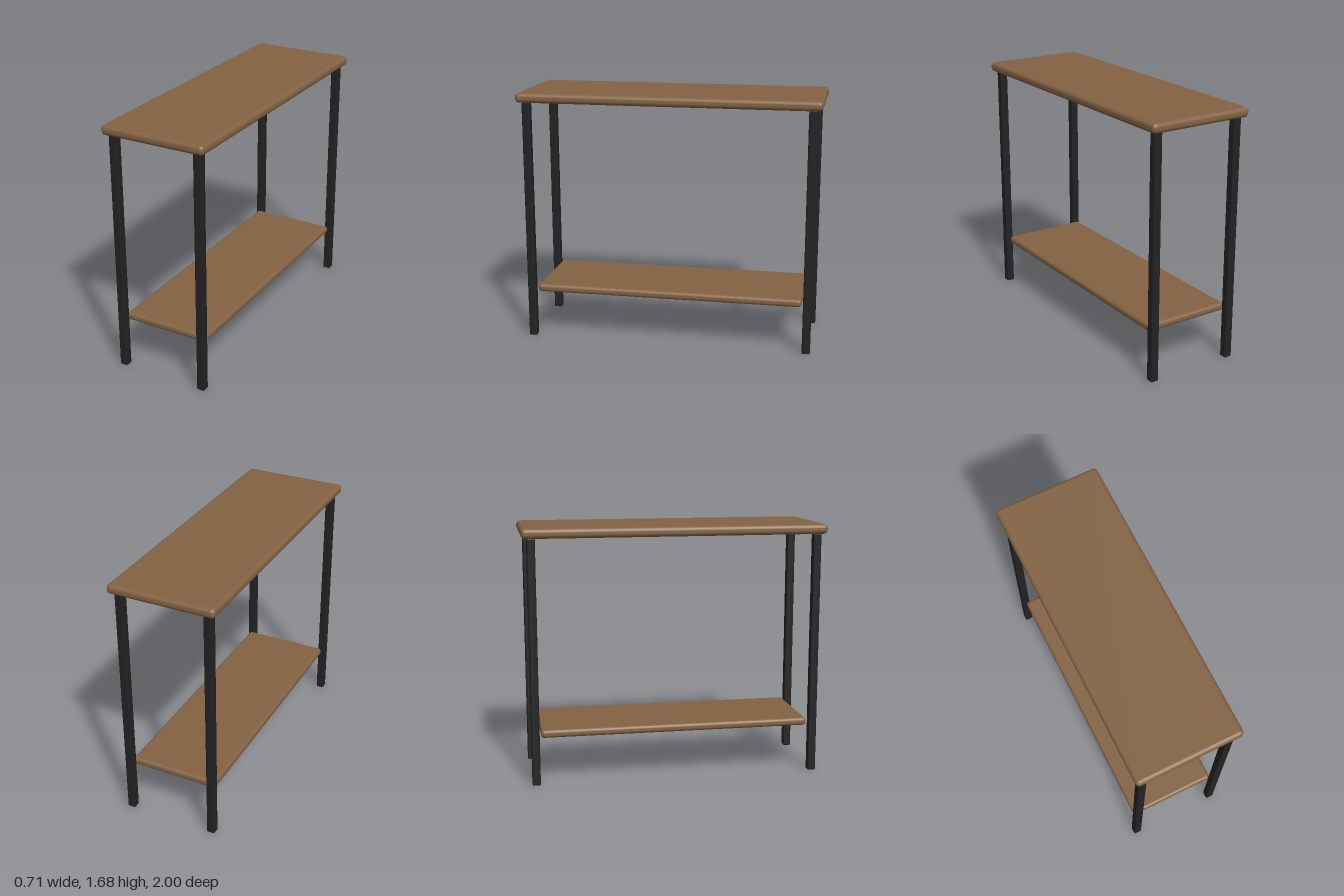
import * as THREE from 'three';
import { RoundedBoxGeometry } from 'three/addons/geometries/RoundedBoxGeometry.js';

export function createModel() {
  const group = new THREE.Group();
  group.name = 'consoleTable';
  const wood = new THREE.MeshStandardMaterial({ name: 'brown wood', color: 0x836243 });
  const metal = new THREE.MeshStandardMaterial({ name: 'black metal', color: 0x222222 });

  // Softly rounded bar or board, placed by its underside
  function board(name, [w, h, d], radius, material, x, bottom, z) {
    const mesh = new THREE.Mesh(new RoundedBoxGeometry(w, h, d, 4, radius), material);
    mesh.name = name;
    mesh.position.set(x, bottom + h / 2, z);
    group.add(mesh);
  }

  // Table top and lower shelf
  board('tableTop', [0.714, 0.064, 2], 0.027, wood, 0, 1.621, 0);
  board('lowerShelf', [0.6, 0.053, 1.8], 0.022, wood, 0, 0.313, 0);

  // Four square legs
  for (const [side, x] of [['Left', 0.295], ['Right', -0.295]]) {
    for (const [end, z] of [['front', 0.938], ['back', -0.938]]) {
      board(`${end}${side}Leg`, [0.054, 1.625, 0.054], 0.009, metal, x, 0, z);
    }
  }
  return group;
}
